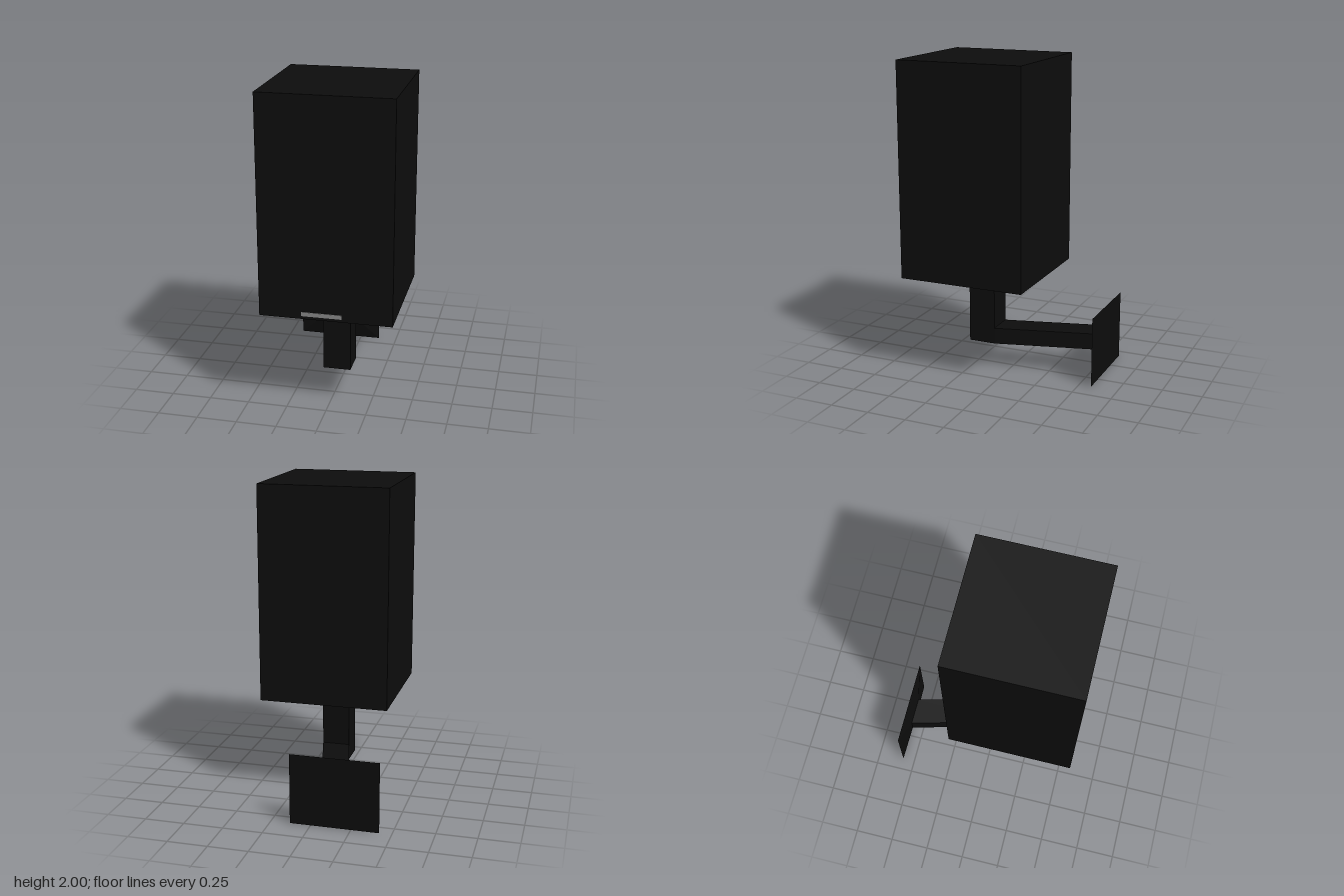
import * as THREE from 'three';

const black = new THREE.MeshStandardMaterial({ color: 0x0d0d0d });
black.name = 'matte black';
const grey = new THREE.MeshStandardMaterial({ color: 0x8a8a8a });
grey.name = 'badge grey';

// Rectangular sections: horizontal at height y, or upright at depth z.
const flatRect = (y, x0, x1, z0, z1) =>
  [[x0, y, z1], [x1, y, z1], [x1, y, z0], [x0, y, z0]];
const uprightRect = (z, x0, x1, y0, y1) =>
  [[x0, y0, z], [x1, y0, z], [x1, y1, z], [x0, y1, z]];

// Skin rectangular sections into a closed, hard-edged solid.
function loft(name, sections) {
  const pos = [];
  const quad = (a, b, c, d) => pos.push(...a, ...b, ...c, ...a, ...c, ...d);
  for (let s = 0; s < sections.length - 1; s++) {
    const lo = sections[s], hi = sections[s + 1];
    for (let i = 0; i < 4; i++) {
      const j = (i + 1) % 4;
      quad(lo[i], lo[j], hi[j], hi[i]);
    }
  }
  quad(...[...sections[0]].reverse());
  quad(...sections[sections.length - 1]);
  const geo = new THREE.BufferGeometry();
  geo.setAttribute('position', new THREE.Float32BufferAttribute(pos, 3));
  geo.computeVertexNormals();
  const mesh = new THREE.Mesh(geo, black);
  mesh.name = name;
  return mesh;
}

export function createModel() {
  const group = new THREE.Group();
  group.name = 'wallMountedSpeaker';

  // Cabinet with a shallow tapered underside
  group.add(loft('cabinet', [
    flatRect(0.61, -0.07, 0.103, 0.09, 0.263),
    flatRect(0.645, -0.387, 0.422, -0.23, 0.578),
    flatRect(2, -0.387, 0.422, -0.23, 0.578),
  ]));

  // Upright post under the cabinet
  group.add(loft('post', [
    flatRect(0.172, -0.07, 0.103, 0.09, 0.263),
    flatRect(0.61, -0.07, 0.103, 0.09, 0.263),
  ]));

  // Skewed arm running back to the wall
  group.add(loft('arm', [
    uprightRect(-0.55, -0.235, -0.06, 0.172, 0.276),
    uprightRect(0.09, -0.07, 0.103, 0.172, 0.276),
  ]));

  // Flared wall plate
  group.add(loft('wallPlate', [
    uprightRect(-0.58, -0.424, 0.13, 0, 0.446),
    uprightRect(-0.55, -0.235, -0.06, 0.172, 0.276),
  ]));

  // Plain badge strip low on the front
  const badge = new THREE.Mesh(new THREE.BoxGeometry(0.245, 0.026, 0.004), grey);
  badge.name = 'badge';
  badge.position.set(-0.005, 0.677, 0.579);
  group.add(badge);

  return group;
}
